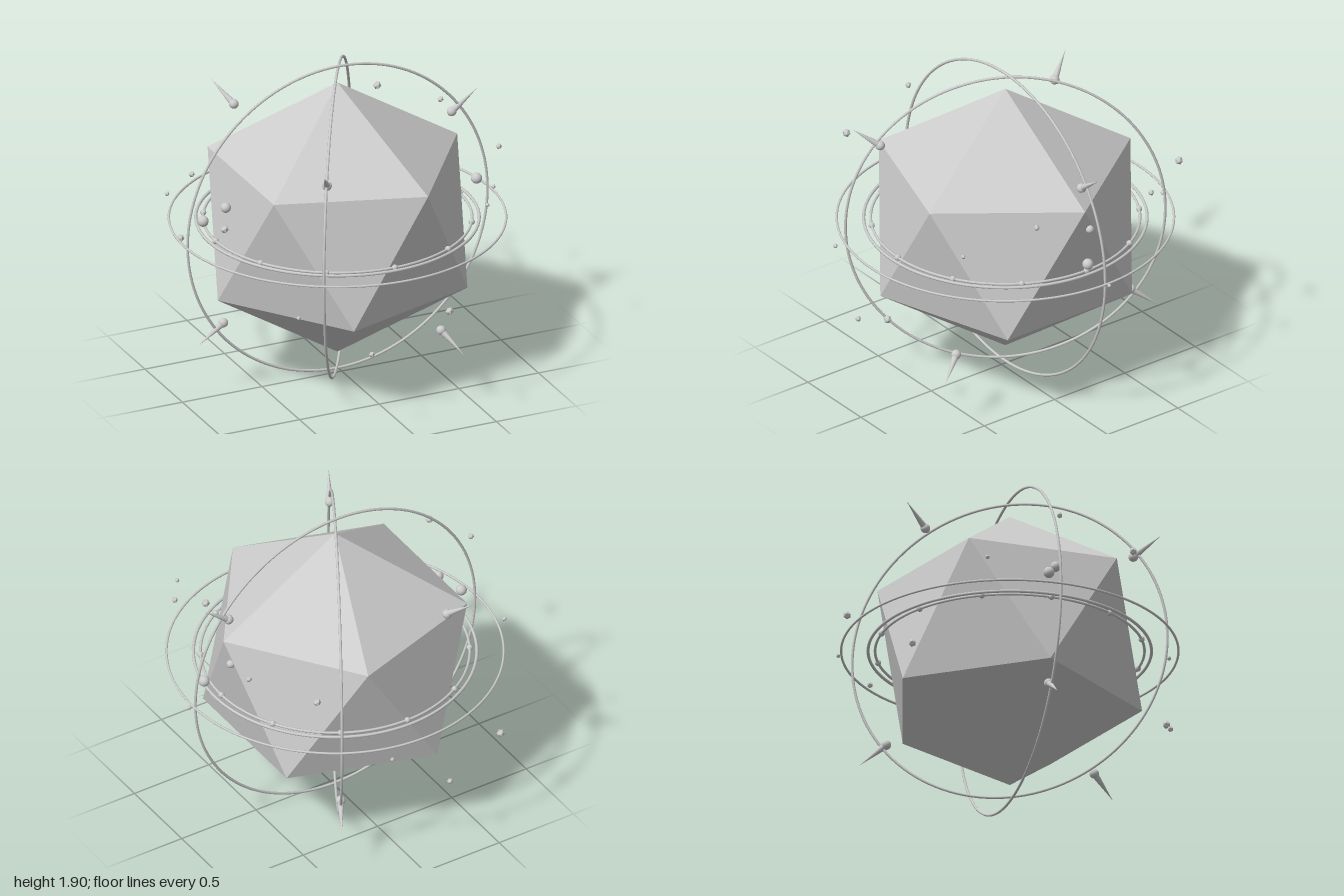
import * as THREE from 'three';

const grey = new THREE.MeshStandardMaterial({ color: 0xcccccc });
const faceted = new THREE.MeshStandardMaterial({ color: 0xcccccc, flatShading: true });

export function createModel() {
  const model = new THREE.Group();
  model.name = 'ringedCrystal';
  model.position.set(-0.01, 0.95, -0.035);

  const add = (name, geometry, material, parent = model) => {
    const mesh = new THREE.Mesh(geometry, material);
    mesh.name = name;
    parent.add(mesh);
    return mesh;
  };

  // Twenty-sided core, standing on one corner
  const core = new THREE.IcosahedronGeometry(0.84, 0);
  core.rotateX(-Math.atan((1 + Math.sqrt(5)) / 2)).rotateY(Math.PI / 2);
  add('core', core, faceted);

  // Three flat rings around the equator
  for (const [name, radius, tube] of [
    ['outerRing', 0.958, 0.007], ['middleRing', 0.805, 0.009], ['innerRing', 0.765, 0.008],
  ]) {
    add(name, new THREE.TorusGeometry(radius, tube, 8, 128), grey).rotation.x = Math.PI / 2;
  }

  // Two upright rings
  add('frontHoop', new THREE.TorusGeometry(0.941, 0.008, 8, 128), grey);
  add('turnedHoop', new THREE.TorusGeometry(0.915, 0.008, 8, 128), grey).rotation.y = Math.PI / 3;

  // Beads threaded on the inner ring
  const beadShape = new THREE.SphereGeometry(0.018, 12, 8);
  for (let i = 0; i < 12; i++) {
    const a = (i * Math.PI) / 6;
    add('ringBead', beadShape, grey).position.set(0.765 * Math.cos(a), 0, 0.765 * Math.sin(a));
  }

  // Six spikes pointing outwards, each with a ball at its foot
  const ballShape = new THREE.SphereGeometry(0.028, 16, 12);
  const coneShape = new THREE.ConeGeometry(0.021, 0.195, 12).translate(0, 0.0975, 0);
  const up = new THREE.Vector3(0, 1, 0);
  for (let i = 0; i < 6; i++) {
    const a = (i * Math.PI) / 3;
    const foot = new THREE.Vector3(0.717 * Math.cos(a), i % 2 ? -0.52 : 0.52, 0.717 * Math.sin(a));
    const spike = new THREE.Group();
    spike.name = 'spike';
    spike.position.copy(foot);
    spike.quaternion.setFromUnitVectors(up, foot.clone().normalize());
    add('spikeBall', ballShape, grey, spike);
    add('spikeCone', coneShape, grey, spike);
    model.add(spike);
  }

  // Round moons at the two sides: x, y, z, radius
  for (const [x, y, z, r] of [
    [-0.72, 0.215, 0.04, 0.03], [-0.827, 0.12, -0.035, 0.032],
    [0.848, 0.1, 0.053, 0.032], [0.733, 0.24, -0.048, 0.024],
  ]) {
    add('moon', new THREE.SphereGeometry(r, 16, 12), grey).position.set(x, y, z);
  }

  // Small faceted stones floating around: x, y, z, radius
  for (const [x, y, z, r] of [
    [0.98, 0, 0, 0.013], [0.825, 0.447, 0.4, 0.018], [0.59, 0.268, 0.745, 0.014],
    [0.228, -0.215, 1.01, 0.024], [-0.204, -0.45, 0.893, 0.018], [-0.6, -0.203, 0.756, 0.014],
    [-0.915, 0.283, 0.44, 0.024], [-0.915, 0.445, 0, 0.018], [-0.873, 0.142, -0.418, 0.014],
    [-0.617, -0.335, -0.783, 0.024], [-0.202, -0.432, -0.9, 0.018], [0.22, -0.07, -0.953, 0.013],
    [0.613, 0.385, -0.772, 0.024], [0.838, 0.405, -0.405, 0.018],
  ]) {
    add('stone', new THREE.IcosahedronGeometry(r, 0), faceted).position.set(x, y, z);
  }

  const group = new THREE.Group();
  group.add(model);
  return group;
}
